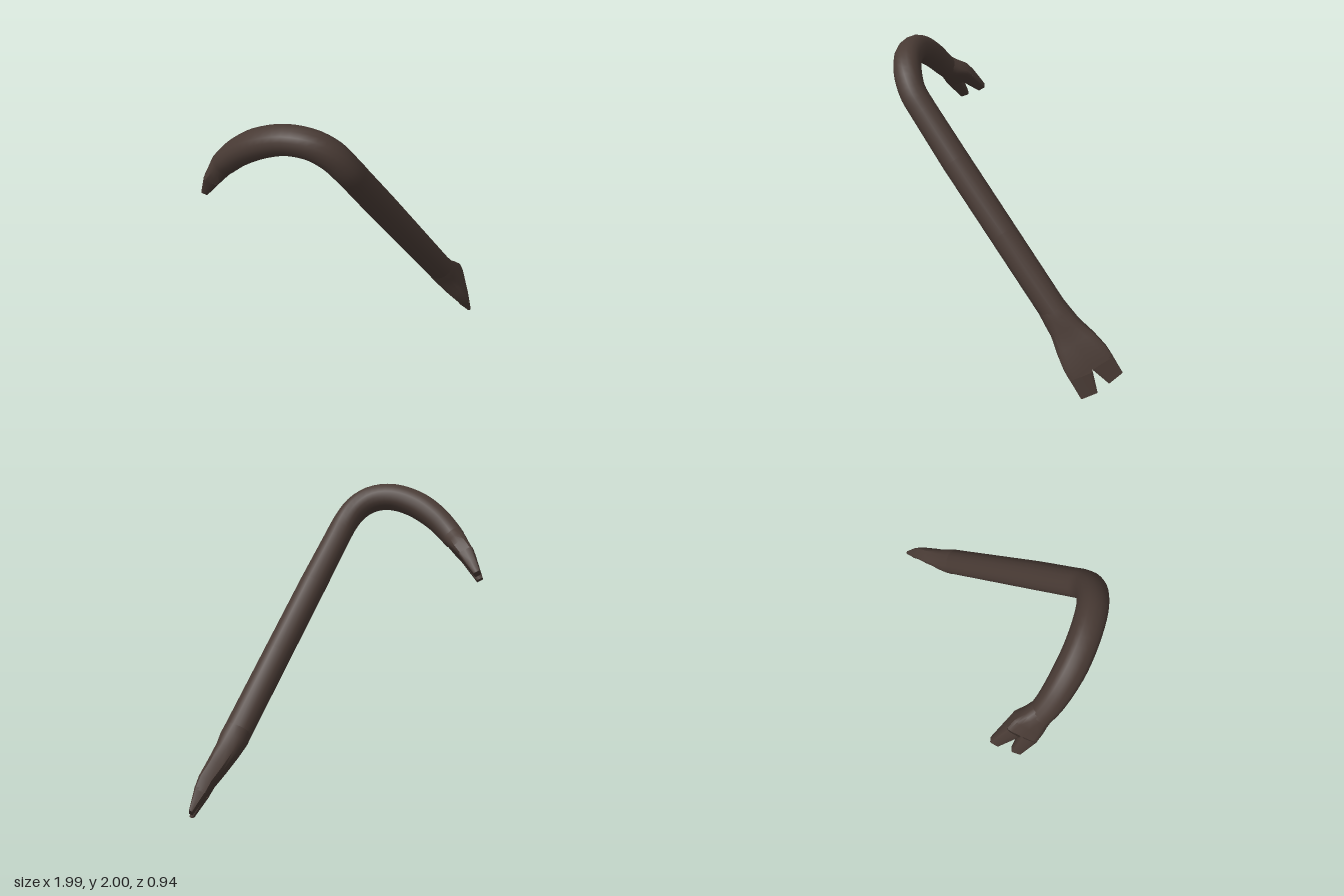
import * as THREE from 'three';
import { toCreasedNormals } from 'three/addons/utils/BufferGeometryUtils.js';

const SIDES = 16;
const V = (x, y, z) => new THREE.Vector3(x, y, z);

// Skins closed cross-sections: each ring has centre c, width axis w,
// half width a, half thickness b and roundness e (1 = round, small = boxy).
function loft(rings) {
  const pos = [], idx = [], n = rings.length;
  rings.forEach((r, i) => {
    const t = rings[Math.min(i + 1, n - 1)].c.clone().sub(rings[Math.max(i - 1, 0)].c).normalize();
    const w = r.w.clone().addScaledVector(t, -r.w.dot(t)).normalize();
    const u = t.clone().cross(w);
    for (let j = 0; j < SIDES; j++) {
      const ang = (j / SIDES) * Math.PI * 2;
      const p = (v) => Math.sign(v) * Math.pow(Math.abs(v) < 1e-6 ? 0 : Math.abs(v), r.e);
      const q = r.c.clone().addScaledVector(w, r.a * p(Math.cos(ang))).addScaledVector(u, r.b * p(Math.sin(ang)));
      pos.push(q.x, q.y, q.z);
    }
  });
  for (let i = 0; i < n - 1; i++) {
    for (let j = 0; j < SIDES; j++) {
      const k = (j + 1) % SIDES, p = i * SIDES, q = p + SIDES;
      idx.push(p + j, p + k, q + j, p + k, q + k, q + j);
    }
  }
  // End caps
  const last = (n - 1) * SIDES;
  for (let j = 1; j < SIDES - 1; j++) idx.push(0, j + 1, j, last, last + j, last + j + 1);
  const g = new THREE.BufferGeometry();
  g.setAttribute('position', new THREE.Float32BufferAttribute(pos, 3));
  g.setIndex(idx);
  return toCreasedNormals(g, 0.6);
}

export function createModel() {
  const model = new THREE.Group();
  model.name = 'pryBar';
  const steel = new THREE.MeshStandardMaterial({ color: 0x483a34 });
  steel.name = 'darkSteel';
  const add = (name, rings) => {
    const m = new THREE.Mesh(loft(rings), steel);
    m.name = name;
    model.add(m);
  };

  const bladeW = V(0.16, 0.53, -0.83).normalize();
  const hookW = V(0.55, 0.42, -0.72).normalize();
  const ring = (c, w, a, b, e) => ({ c, w, a, b, e });

  // Curved hook, from its neck round to the top of the shaft
  const hook = new THREE.CatmullRomCurve3([
    V(-0.865, 1.66, -0.11), V(-0.84, 1.715, -0.05), V(-0.79, 1.79, 0.03), V(-0.70, 1.87, 0.14),
    V(-0.58, 1.915, 0.25), V(-0.46, 1.9, 0.335), V(-0.36, 1.835, 0.377),
    V(-0.28, 1.74, 0.38), V(-0.2, 1.632, 0.34),
  ]);
  const bar = [];
  for (let i = 0; i <= 28; i++) {
    const s = i / 28, r = 0.072 + 0.014 * Math.min(1, s * 3);
    bar.push(ring(hook.getPoint(s), hookW.clone().lerp(bladeW, s), r, r, 0.9));
  }
  // Straight shaft
  for (const x of [0, 0.3, 0.64]) {
    bar.push(ring(V(x, 1.36 - 1.358 * x, 0.225 - 0.608 * x), bladeW, 0.09, 0.09, 0.9));
  }
  add('hookAndShaft', bar);

  // A claw is a flattening body that splits into two tapering prongs
  function claw(name, w, body, tip, root, end, spread) {
    add(name + 'Body', body);
    const base = body[body.length - 1];
    for (const [side, label] of [[-1, 'FrontProng'], [1, 'BackProng']]) {
      const at = (c, d) => c.clone().addScaledVector(w, side * d);
      add(name + label, [
        ring(at(base.c, root), w, root, base.b, base.e),
        ring(at(base.c.clone().lerp(tip, 0.5), (root + spread) / 2), w, (root + end.a) / 2, (base.b + end.b) / 2, 0.35),
        ring(at(tip, spread), w, end.a, end.b, 0.3),
      ]);
    }
  }

  // Wide flat claw at the foot of the shaft
  claw('footClaw', bladeW, [
    ring(V(0.6, 0.545, -0.14), bladeW, 0.088, 0.088, 0.9),
    ring(V(0.65, 0.477, -0.17), bladeW, 0.097, 0.092, 0.85),
    ring(V(0.7, 0.413, -0.2), bladeW, 0.105, 0.08, 0.7),
    ring(V(0.775, 0.33, -0.235), bladeW, 0.135, 0.064, 0.5),
    ring(V(0.845, 0.255, -0.265), bladeW, 0.154, 0.05, 0.35),
    ring(V(0.885, 0.195, -0.29), bladeW, 0.156, 0.042, 0.3),
  ], V(0.958, 0.083, -0.335), 0.078, { a: 0.056, b: 0.012 }, 0.1);

  // Smaller claw at the end of the hook
  claw('hookClaw', hookW, [
    ring(V(-0.855, 1.685, -0.085), hookW, 0.07, 0.07, 0.9),
    ring(V(-0.87, 1.645, -0.135), hookW, 0.082, 0.066, 0.75),
    ring(V(-0.88, 1.61, -0.18), hookW, 0.098, 0.058, 0.5),
    ring(V(-0.9, 1.565, -0.225), hookW, 0.1, 0.05, 0.4),
  ], V(-0.928, 1.44, -0.332), 0.05, { a: 0.03, b: 0.022 }, 0.07);

  return model;
}
